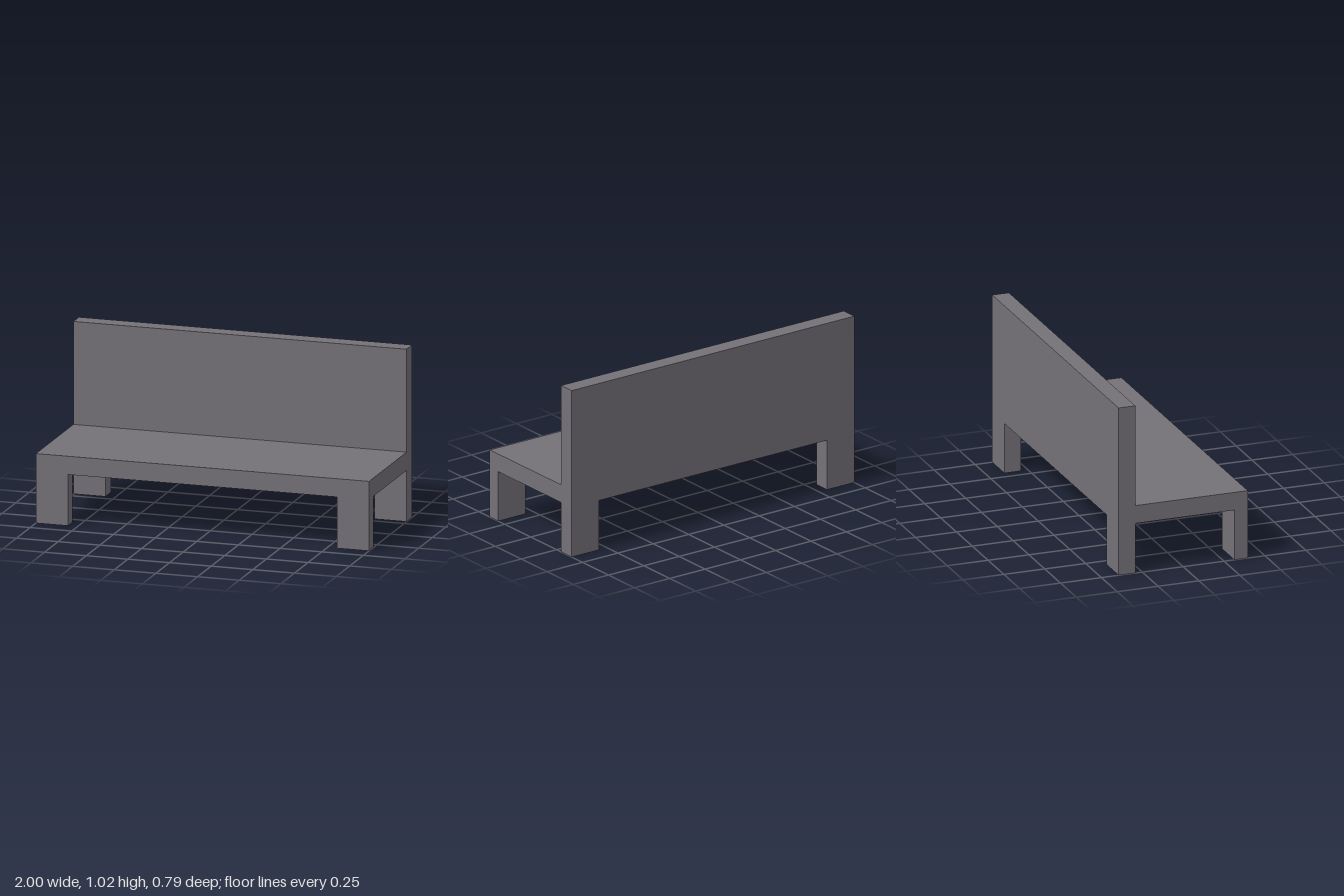
import * as THREE from 'three';

export function createModel() {
  const bench = new THREE.Group();
  bench.name = 'bench';
  const grey = new THREE.MeshStandardMaterial({ color: 0x757278 });
  grey.name = 'warm grey';

  // Box given by its lower and upper corners
  function block(name, [x0, y0, z0], [x1, y1, z1]) {
    const mesh = new THREE.Mesh(new THREE.BoxGeometry(x1 - x0, y1 - y0, z1 - z0), grey);
    mesh.position.set((x0 + x1) / 2, (y0 + y1) / 2, (z0 + z1) / 2);
    mesh.name = name;
    bench.add(mesh);
  }

  const depth = 0.395, backFront = -0.293, seatBottom = 0.302, seatTop = 0.41;

  // Seat and backrest slabs
  block('seat', [-1, seatBottom, backFront], [1, seatTop, depth]);
  block('backrest', [-1, seatBottom, -depth], [1, 1.017, backFront]);

  // Legs flush with the outer corners
  for (const [side, x0, x1] of [['left', 0.807, 1], ['right', -1, -0.807]]) {
    block(`${side}FrontLeg`, [x0, 0, 0.313], [x1, seatBottom, depth]);
    block(`${side}BackLeg`, [x0, 0, -depth], [x1, seatBottom, backFront]);
  }
  return bench;
}
